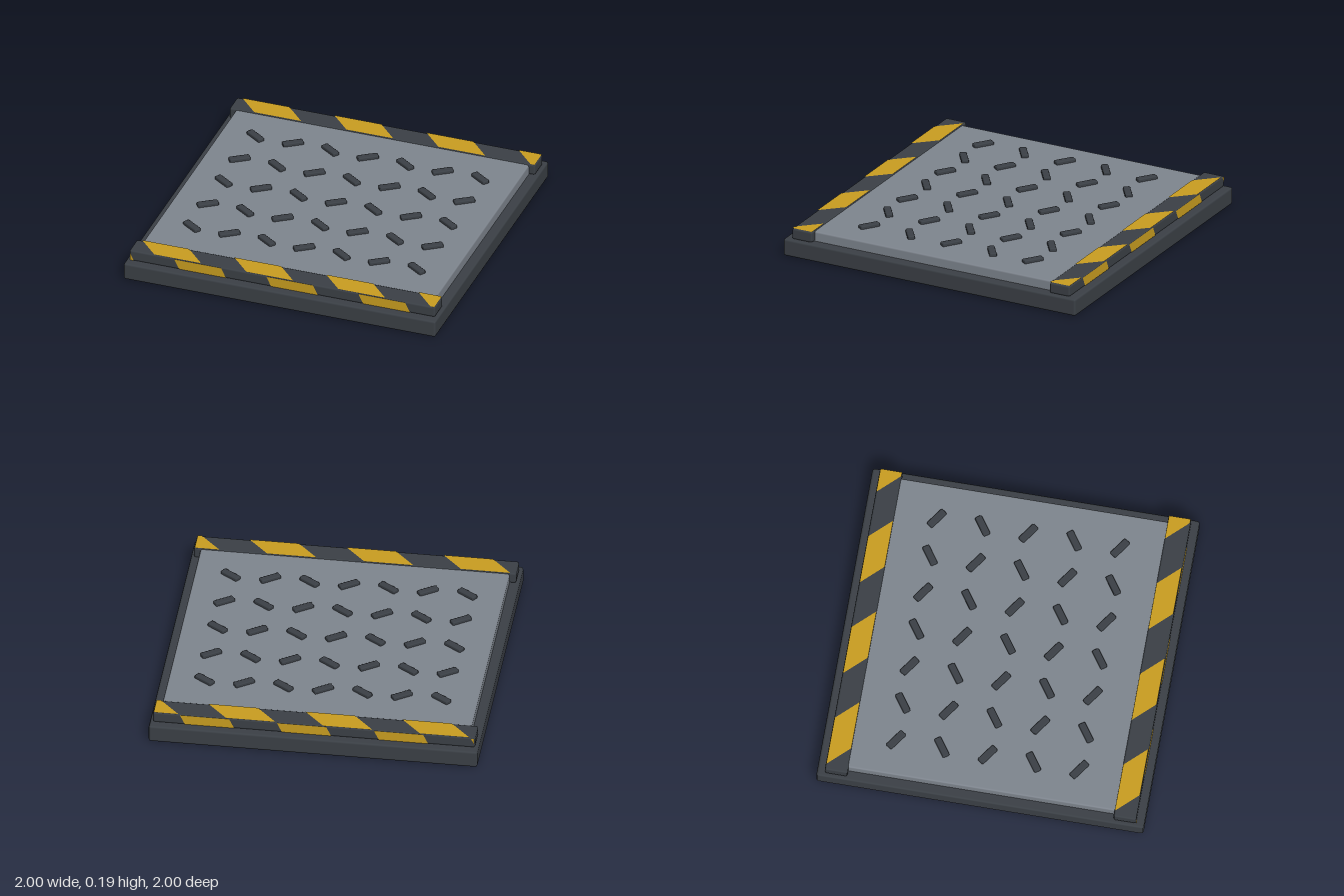
import * as THREE from 'three';
import { RoundedBoxGeometry } from 'three/addons/geometries/RoundedBoxGeometry.js';

const material = (name, color) => {
  const m = new THREE.MeshStandardMaterial({ color });
  m.name = name;
  return m;
};

export function createModel() {
  const dark = material('dark steel', 0x3b4046);
  const grey = material('grey plate', 0x7f868f);
  const yellow = material('warning yellow', 0xca9e20);
  const model = new THREE.Group();
  model.name = 'floorPlate';

  const add = (parent, name, geometry, mat, x = 0, y = 0, z = 0) => {
    const mesh = new THREE.Mesh(geometry, mat);
    mesh.name = name;
    mesh.position.set(x, y, z);
    parent.add(mesh);
    return mesh;
  };
  const block = (w, h, d, bevel) => new RoundedBoxGeometry(w, h, d, 1, bevel);

  // Base slab and raised walking plate
  add(model, 'base', block(2, 0.11, 2, 0.014), dark, 0, 0.055, 0);
  add(model, 'treadPlate', block(1.88, 0.09, 1.72, 0.012), grey, 0, 0.128, 0);

  // Grip bars in a herringbone grid
  const bar = block(0.13, 0.03, 0.045, 0.008);
  const bars = new THREE.Group();
  bars.name = 'gripBars';
  model.add(bars);
  for (let row = 0; row < 5; row++) {
    for (let col = 0; col < 7; col++) {
      const mesh = add(bars, 'gripBar', bar, dark, (col - 3) * 0.24, 0.178, (row - 2) * 0.28);
      mesh.rotation.y = ((row + col) % 2 ? 1 : -1) * 0.61;
    }
  }

  // Keeps the part of a polygon where side * x <= limit
  const clip = (points, side, limit) => points.flatMap((p, i) => {
    const q = points[(i + 1) % points.length];
    const pIn = side * p.x <= limit, qIn = side * q.x <= limit;
    const out = pIn ? [p] : [];
    if (pIn !== qIn) out.push(p.clone().lerp(q, (side * limit - p.x) / (q.x - p.x)));
    return out;
  });

  // Row of slanted stripes, cut off at the ends of the strip
  const stripes = (start, height, slant) => {
    const shapes = [];
    for (let i = -1; i < 4; i++) {
      const a = start + i * 0.59, b = a + 0.3, h = height / 2;
      let points = [[a, h], [a + slant, -h], [b + slant, -h], [b, h]]
        .map(([x, y]) => new THREE.Vector2(x, y));
      points = clip(clip(points, 1, 0.975), -1, 0.975);
      if (points.length > 2) shapes.push(new THREE.Shape(points));
    }
    return new THREE.ShapeGeometry(shapes);
  };

  // Hazard strips along the front and back edges
  for (const side of [1, -1]) {
    const strip = new THREE.Group();
    strip.name = side > 0 ? 'frontHazardStrip' : 'backHazardStrip';
    strip.position.set(0, 0.145, side * 0.882);
    model.add(strip);
    add(strip, 'stripBody', block(1.96, 0.07, 0.138, 0.012), dark);
    const top = add(strip, 'topStripes', stripes(-0.945, 0.132, 0.125), yellow, 0, 0.0365, 0);
    top.rotation.x = -Math.PI / 2;
    const face = add(strip, 'outerStripes', stripes(side > 0 ? -0.69 : -0.815, 0.062, 0.03),
      yellow, 0, 0, side * 0.0705);
    if (side < 0) face.rotation.y = Math.PI;
  }
  return model;
}
